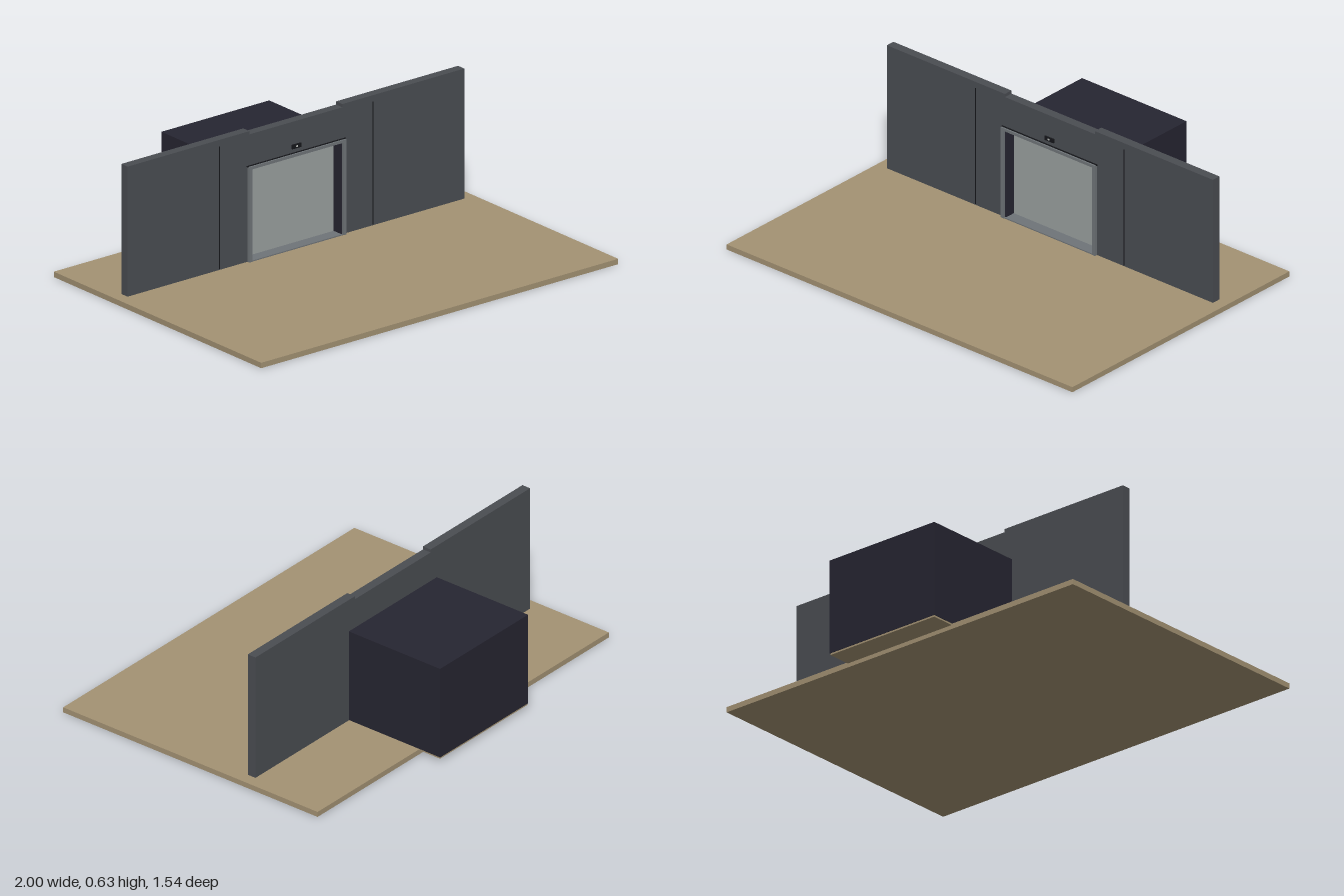
import * as THREE from 'three';

const mat = (name, color) => {
  const m = new THREE.MeshStandardMaterial({ color });
  m.name = name;
  return m;
};

export function createModel() {
  const model = new THREE.Group();
  model.name = 'liftLobby';
  const sand = mat('sandFloor', 0xa39273);
  const slate = mat('slateWall', 0x4a4d52);
  const navy = mat('darkCabin', 0x262531);
  const steel = mat('brushedSteel', 0x9aa09f);
  const trim = mat('frameSteel', 0x6f7478);
  const black = mat('blackDetail', 0x15161a);
  const light = mat('indicatorLight', 0xb9bcb8);

  // Box given by its minimum and maximum corners
  const box = (name, material, [x0, y0, z0], [x1, y1, z1]) => {
    const mesh = new THREE.Mesh(new THREE.BoxGeometry(x1 - x0, y1 - y0, z1 - z0), material);
    mesh.position.set((x0 + x1) / 2, (y0 + y1) / 2, (z0 + z1) / 2);
    mesh.name = name;
    model.add(mesh);
  };
  // The same box on both sides of x = 0
  const pair = (name, material, [x0, y0, z0], [x1, y1, z1]) => {
    box(name + 'Left', material, [x0, y0, z0], [x1, y1, z1]);
    box(name + 'Right', material, [-x1, y0, z0], [-x0, y1, z1]);
  };

  // Lobby floor
  box('lobbyFloor', sand, [-1, 0, -0.655], [1, 0.025, 0.772]);

  // Wall: two tall side panels and a lower lintel around the doorway
  pair('wallPanel', slate, [0.26, 0.025, -0.26], [0.943, 0.63, -0.217]);
  box('wallLintel', slate, [-0.26, 0.468, -0.26], [0.26, 0.615, -0.217]);
  pair('wallSeam', black, [0.428, 0.03, -0.218], [0.432, 0.6, -0.215]);

  // Hollow lift cabin behind the wall
  box('cabinFloor', sand, [-0.3, 0.019, -0.77], [0.3, 0.029, -0.262]);
  pair('cabinSide', navy, [0.288, 0.027, -0.772], [0.302, 0.47, -0.26]);
  box('cabinBack', navy, [-0.3, 0.027, -0.772], [0.3, 0.47, -0.758]);
  box('cabinRoof', navy, [-0.302, 0.458, -0.772], [0.302, 0.472, -0.26]);

  // Doorway: dark jambs, recessed door, frame and sill
  pair('jamb', navy, [0.248, 0.027, -0.275], [0.262, 0.458, -0.212]);
  box('liftDoor', steel, [-0.248, 0.029, -0.274], [0.248, 0.458, -0.262]);
  pair('frameSide', trim, [0.255, 0.025, -0.217], [0.272, 0.468, -0.203]);
  box('frameTop', trim, [-0.272, 0.455, -0.262], [0.272, 0.468, -0.203]);
  box('frameCap', black, [-0.276, 0.466, -0.217], [0.276, 0.471, -0.211]);
  box('sill', trim, [-0.255, 0.02, -0.262], [0.255, 0.03, -0.205]);

  // Floor indicator above the door
  box('indicatorPlate', black, [-0.026, 0.49, -0.217], [0.026, 0.509, -0.21]);
  box('indicatorLamp', light, [-0.005, 0.496, -0.211], [0.005, 0.503, -0.2085]);

  return model;
}
